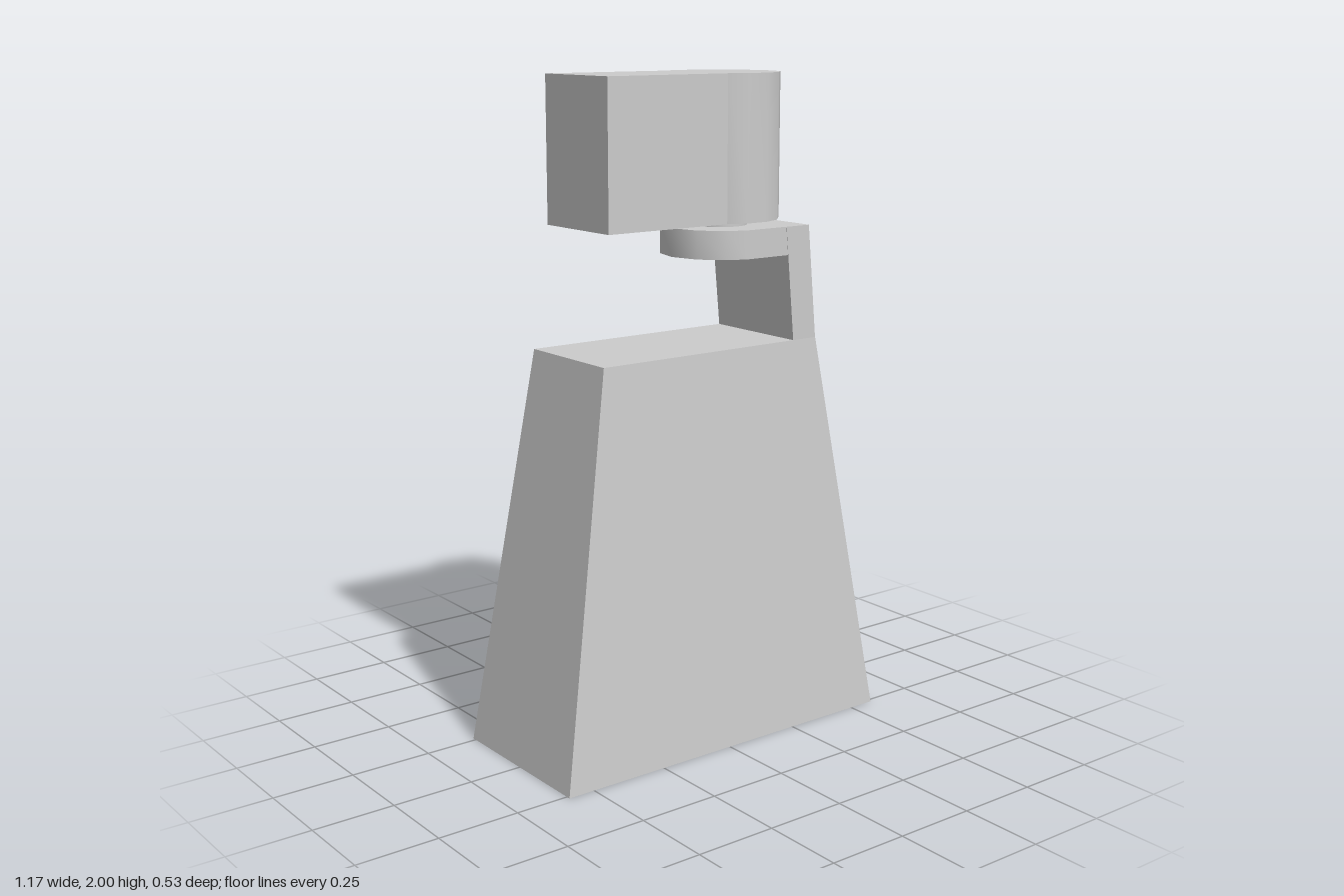
import * as THREE from 'three';
import { mergeGeometries, toCreasedNormals } from 'three/addons/utils/BufferGeometryUtils.js';

const grey = new THREE.MeshStandardMaterial({ color: 0xcccccc });
const purple = new THREE.MeshStandardMaterial({ color: 0xc010b5 });

const PIVOT_X = 0.16, RADIUS = 0.18;

// Outline points of the round pivot, from the given angles in degrees
const arc = (angles) => angles.map((d) => {
  const a = THREE.MathUtils.degToRad(d);
  return new THREE.Vector2(PIVOT_X + RADIUS * Math.cos(a), RADIUS * Math.sin(a));
});
const LEFT_ARC = [101, 122, 150, 180, 210, 238, 259];
const FULL_ARC = [0, 30, 58, 79, ...LEFT_ARC, 281, 302, 330];

// Upright prism from a plan outline, smooth on its curved sides
function prism(points, y0, y1) {
  const g = new THREE.ExtrudeGeometry(new THREE.Shape(points), { depth: y1 - y0, bevelEnabled: false });
  g.rotateX(-Math.PI / 2).translate(0, y0, 0);
  return toCreasedNormals(g, 0.6);
}

// Flat-sided skin through rectangular rings [halfX, y, halfZ], with the first ring capped
function loftRects(rings) {
  const corners = rings.map(([x, y, z]) => [[x, y, z], [x, y, -z], [-x, y, -z], [-x, y, z]]);
  const pos = [];
  const quad = (a, b, c, d) => pos.push(...a, ...b, ...c, ...a, ...c, ...d);
  quad(...corners[0]);
  for (let r = 0; r < rings.length - 1; r++) {
    for (let i = 0; i < 4; i++) {
      const j = (i + 1) % 4;
      quad(corners[r][i], corners[r + 1][i], corners[r + 1][j], corners[r][j]);
    }
  }
  const g = new THREE.BufferGeometry();
  g.setAttribute('position', new THREE.Float32BufferAttribute(pos, 3));
  g.computeVertexNormals();
  return g;
}

export function createModel() {
  const group = new THREE.Group();
  const add = (name, geometry, material = grey) => {
    const mesh = new THREE.Mesh(geometry, material);
    mesh.name = name;
    group.add(mesh);
  };

  // Tapered body with a rim and a shallow recess underneath
  add('body', loftRects([
    [0.393, 1.205, 0.178],
    [0.585, 0, 0.263],
    [0.535, 0, 0.213],
    [0.505, 0.1, 0.203],
  ]));
  const panel = new THREE.PlaneGeometry(1.01, 0.406).rotateX(Math.PI / 2).translate(0, 0.1, 0);
  add('bottomPanel', panel, purple);

  // Leaning arm rising from the body's left side
  const armProfile = new THREE.Shape([
    new THREE.Vector2(0.305, 1.2), new THREE.Vector2(0.393, 1.2),
    new THREE.Vector2(0.36, 1.55), new THREE.Vector2(0.272, 1.55),
  ]);
  const arm = new THREE.ExtrudeGeometry(armProfile, { depth: 0.356, bevelEnabled: false });
  add('arm', arm.translate(0, 0, -0.178));

  // Round-ended shelf that carries the head
  const shelf = [...arc(LEFT_ARC), new THREE.Vector2(0.31, -0.177), new THREE.Vector2(0.31, 0.177)];
  add('shelf', prism(shelf, 1.465, 1.55));

  // Short pivot pin
  add('pivotPin', new THREE.CylinderGeometry(0.083, 0.083, 0.04, 24).translate(PIVOT_X, 1.56, 0));

  // Swivelling head: round end plus rectangular block
  const block = new THREE.BoxGeometry(0.515, 0.43, 0.306).toNonIndexed().translate(-0.0975, 1.785, 0);
  add('head', mergeGeometries([prism(arc(FULL_ARC), 1.57, 2), block]));

  return group;
}
